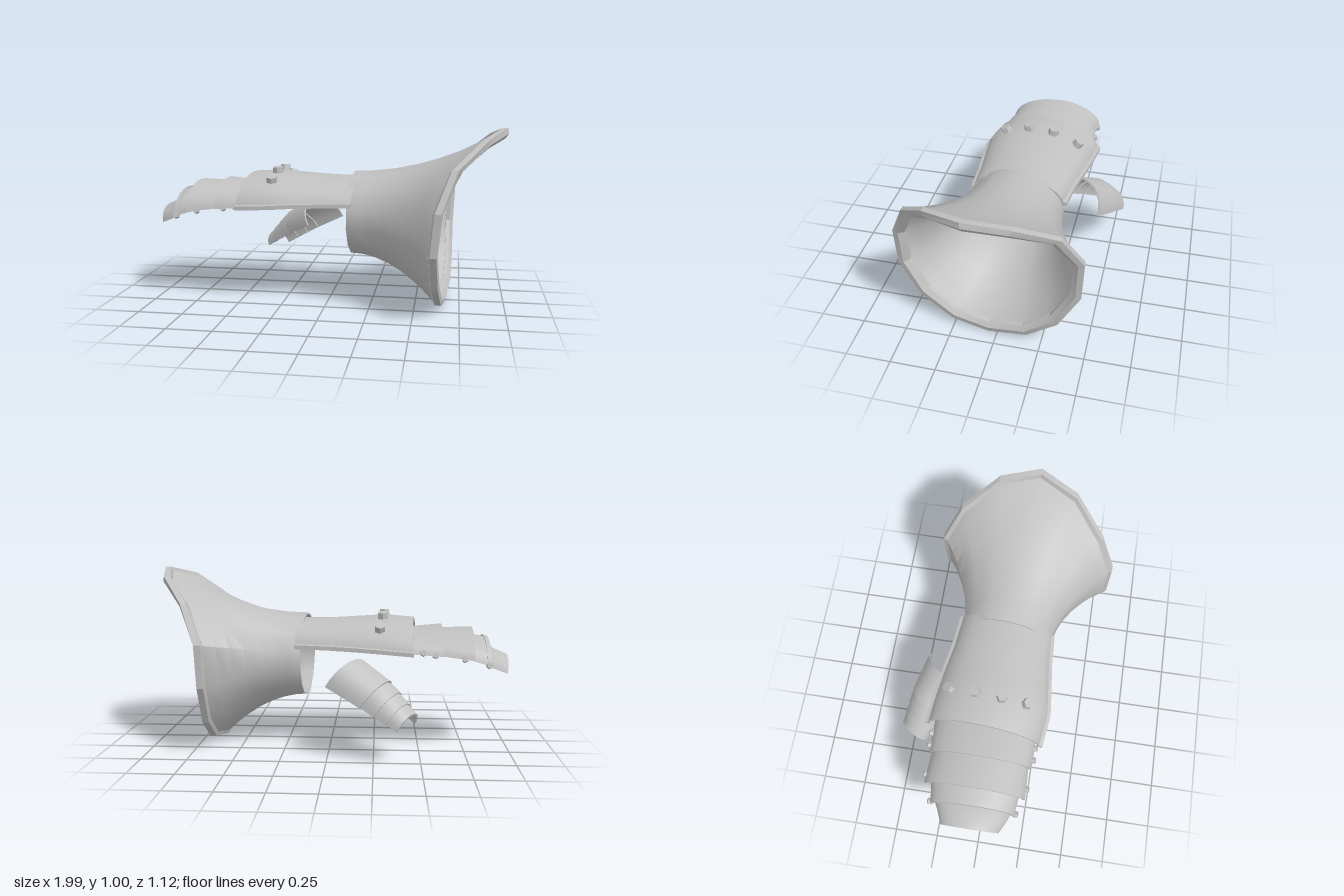
import * as THREE from 'three';
import { toCreasedNormals } from 'three/addons/utils/BufferGeometryUtils.js';

const V = (x, y, z) => new THREE.Vector3(x, y, z);

// Skin a solid through matching loops; ring = join last loop to first, else cap both ends
function loft(loops, ring = false, crease = 0.6) {
  const n = loops[0].length, m = loops.length, pts = loops.flat(), idx = [];
  const quad = (a, b, c, d) => idx.push(a, b, c, a, c, d);
  for (let i = 0; i < (ring ? m : m - 1); i++) {
    const r = i * n, s = ((i + 1) % m) * n;
    for (let k = 0; k < n; k++) {
      const l = (k + 1) % n;
      quad(r + k, r + l, s + l, s + k);
    }
  }
  if (!ring) {
    const e = (m - 1) * n;
    for (let k = 0; k < n / 2 - 1; k++) {
      quad(n - 1 - k, n - 2 - k, k + 1, k);
      quad(e + k, e + k + 1, e + n - 2 - k, e + n - 1 - k);
    }
  }
  // turn faces outward by the sign of the enclosed volume
  let vol = 0;
  for (let i = 0; i < idx.length; i += 3) {
    vol += pts[idx[i]].dot(pts[idx[i + 1]].clone().cross(pts[idx[i + 2]]));
  }
  if (vol < 0) idx.reverse();
  const g = new THREE.BufferGeometry().setFromPoints(pts);
  g.setIndex(idx);
  return toCreasedNormals(g, crease);
}

// Point on an arch: section = [near foot, far foot, crown]
function archPoint([a, b, c], angle, inset = 0) {
  const mid = a.clone().lerp(b, 0.5);
  const p = mid.clone()
    .addScaledVector(a.clone().sub(mid), Math.cos(angle))
    .addScaledVector(c.clone().sub(mid), Math.sin(angle));
  return p.addScaledVector(p.clone().sub(mid).normalize(), -inset);
}

// Curved plate of constant thickness through several arches
function plateGeometry(sections, thickness = 0.012, steps = 12) {
  return loft(sections.map((s) => {
    const outer = [], inner = [];
    for (let k = 0; k <= steps; k++) {
      outer.push(archPoint(s, Math.PI * k / steps));
      inner.unshift(archPoint(s, Math.PI * k / steps, thickness));
    }
    return [...outer, ...inner];
  }));
}

// Section from x of feet and crown, foot height, crown height, near z and far z
const sec = (xa, xb, xc, foot, crown, za, zb) =>
  [V(xa, foot, za), V(xb, foot, zb), V(xc, crown, (za + zb) / 2)];

const mixSec = (s, e, t) => s.map((p, i) => p.clone().lerp(e[i], t));

export function createModel() {
  const group = new THREE.Group();
  const steel = new THREE.MeshStandardMaterial({ color: 0xc0c0c0 });
  steel.name = 'steel';
  const add = (name, geometry) => {
    const mesh = new THREE.Mesh(geometry, steel);
    mesh.name = name;
    group.add(mesh);
    return mesh;
  };

  // Flared cuff: fourteen-sided, swept from an oval wrist to a slanted rim [x, y, z]
  const rim = [
    [0.98, 1.01, 0.07], [0.88, 0.965, 0.29], [0.72, 0.82, 0.465], [0.64, 0.61, 0.56],
    [0.62, 0.38, 0.555], [0.63, 0.18, 0.445], [0.645, 0.045, 0.26], [0.66, 0.005, 0.05],
    [0.685, 0.05, -0.17], [0.69, 0.17, -0.34], [0.69, 0.385, -0.46], [0.7, 0.62, -0.47],
    [0.79, 0.83, -0.365], [0.93, 0.965, -0.16],
  ];
  const rimLoop = (scale, dx) => rim.map(([x, y, z]) =>
    V(x + dx, 0.505 + (y - 0.505) * scale, 0.045 + (z - 0.045) * scale));
  const wristLoop = (scale) => rim.map((_, i) => {
    const a = i * 2 * Math.PI / rim.length, z = 0.268 * Math.sin(a) * scale;
    return V(0.14 - 0.07 * z, 0.51 + 0.24 * Math.cos(a) * scale, z);
  });
  const flare = (wrist, end, t) => wrist.map((w, i) => {
    const f = t * t, e = end[i];
    return V(w.x + (e.x - w.x) * t, w.y + (e.y - w.y) * f, w.z + (e.z - w.z) * f);
  });
  const ts = [0, 0.15, 0.3, 0.45, 0.6, 0.75, 0.88, 1];
  const outside = ts.map((t) => flare(wristLoop(1), rimLoop(0.95, -0.04), t));
  const inside = ts.map((t) => flare(wristLoop(0.96), rimLoop(0.885, -0.03), t)).reverse();
  add('cuff', loft([...outside, ...inside], true));

  // Raised border around the cuff opening
  add('cuffRim', loft([
    rimLoop(0.93, -0.042), rimLoop(0.995, -0.03), rimLoop(1, 0.005),
    rimLoop(0.94, 0.012), rimLoop(0.885, -0.008), rimLoop(0.88, -0.03),
  ], true, 0.35));

  // Back-of-hand plate
  const hand = [
    sec(0.15, 0.19, 0.17, 0.585, 0.72, 0.262, -0.268),
    sec(-0.02, 0, -0.01, 0.582, 0.722, 0.27, -0.29),
    sec(-0.2, -0.16, -0.18, 0.577, 0.733, 0.29, -0.32),
    sec(-0.32, -0.3, -0.31, 0.57, 0.742, 0.302, -0.342),
    sec(-0.5, -0.46, -0.47, 0.56, 0.73, 0.28, -0.36),
  ];
  add('handPlate', plateGeometry(hand));

  // Ledge along both lower edges of the hand plate
  for (const side of [0, 1]) {
    const out = side === 0 ? 1 : -1;
    add(side === 0 ? 'frontLedge' : 'rearLedge', loft(hand.map((s) => {
      const p = s[side];
      return [[-0.012, -0.008], [0.014, -0.008], [0.014, 0.014], [-0.012, 0.02]]
        .map(([dz, dy]) => V(p.x, p.y + dy, p.z + dz * out));
    })));
  }

  // Overlapping finger lames
  const lames = [
    [sec(-0.44, -0.42, -0.43, 0.562, 0.672, 0.255, -0.32),
      sec(-0.63, -0.62, -0.63, 0.548, 0.692, 0.25, -0.32)],
    [sec(-0.6, -0.6, -0.6, 0.55, 0.668, 0.235, -0.305),
      sec(-0.8, -0.79, -0.8, 0.528, 0.677, 0.242, -0.32)],
    [sec(-0.77, -0.77, -0.77, 0.525, 0.637, 0.21, -0.285),
      sec(-0.885, -0.885, -0.885, 0.49, 0.622, 0.195, -0.268)],
    [sec(-0.86, -0.86, -0.87, 0.49, 0.61, 0.185, -0.255),
      sec(-0.92, -0.92, -0.92, 0.465, 0.558, 0.16, -0.225),
      sec(-0.985, -0.985, -1, 0.438, 0.525, 0.125, -0.2)],
  ];
  lames.forEach((s, i) => add('fingerLame' + (i + 1), plateGeometry(s)));

  // Narrow band on the knuckle lame
  add('fingerBand', plateGeometry([
    sec(-0.865, -0.865, -0.865, 0.495, 0.632, 0.203, -0.278),
    sec(-0.888, -0.888, -0.888, 0.488, 0.628, 0.201, -0.275),
  ], 0.02));

  // Thumb guard: four lames stepping down from base to tip
  const thumbBase = [V(-0.17, 0.39, -0.14), V(0.01, 0.4, -0.44), V(-0.155, 0.535, -0.33)];
  const thumbMid = [V(-0.32, 0.305, -0.27), V(-0.19, 0.295, -0.515), V(-0.335, 0.42, -0.425)];
  const thumbTip = [V(-0.475, 0.2, -0.4), V(-0.37, 0.19, -0.555), V(-0.455, 0.272, -0.495)];
  const thumbAt = (t, swell) => {
    const s = t < 0.5 ? mixSec(thumbBase, thumbMid, t * 2) : mixSec(thumbMid, thumbTip, t * 2 - 1);
    const mid = s[0].clone().lerp(s[1], 0.5);
    return s.map((p) => mid.clone().lerp(p, swell));
  };
  [[0, 0.46], [0.42, 0.66], [0.62, 0.84], [0.8, 1]].forEach(([a, b], i) =>
    add('thumbLame' + (i + 1), plateGeometry([
      thumbAt(a, i ? 0.94 : 1), thumbAt((a + b) / 2, i ? 0.97 : 1), thumbAt(b, 1)], 0.01)));

  // Hexagonal knuckle bolts and small side rivets, aligned to the surface
  const up = V(0, 1, 0);
  const stud = (name, radius, height, x, y, z, normal) => {
    const g = new THREE.CylinderGeometry(radius * 0.9, radius, height, 6).toNonIndexed();
    g.computeVertexNormals();
    const mesh = add(name, g);
    mesh.position.set(x, y, z);
    mesh.quaternion.setFromUnitVectors(up, normal.normalize());
  };
  for (const [x, z] of [[-0.28, -0.26], [-0.295, -0.11], [-0.305, 0.04], [-0.31, 0.18]]) {
    const u = (z + 0.02) / 0.32, h = Math.sqrt(1 - u * u);
    stud('knuckleBolt', 0.033, 0.045, x, 0.57 + 0.172 * h + 0.008, z, V(0, h / 0.172, u / 0.32));
  }
  for (const [x, y, zNear, zFar] of [
    [-0.515, 0.568, 0.255, -0.322], [-0.58, 0.556, 0.255, -0.322],
    [-0.74, 0.535, 0.24, -0.316], [-0.877, 0.495, 0.2, -0.272]]) {
    stud('frontRivet', 0.019, 0.028, x, y, zNear, V(0, 0.25, 1));
    stud('rearRivet', 0.019, 0.028, x, y, zFar, V(0, 0.25, -1));
  }
  return group;
}
